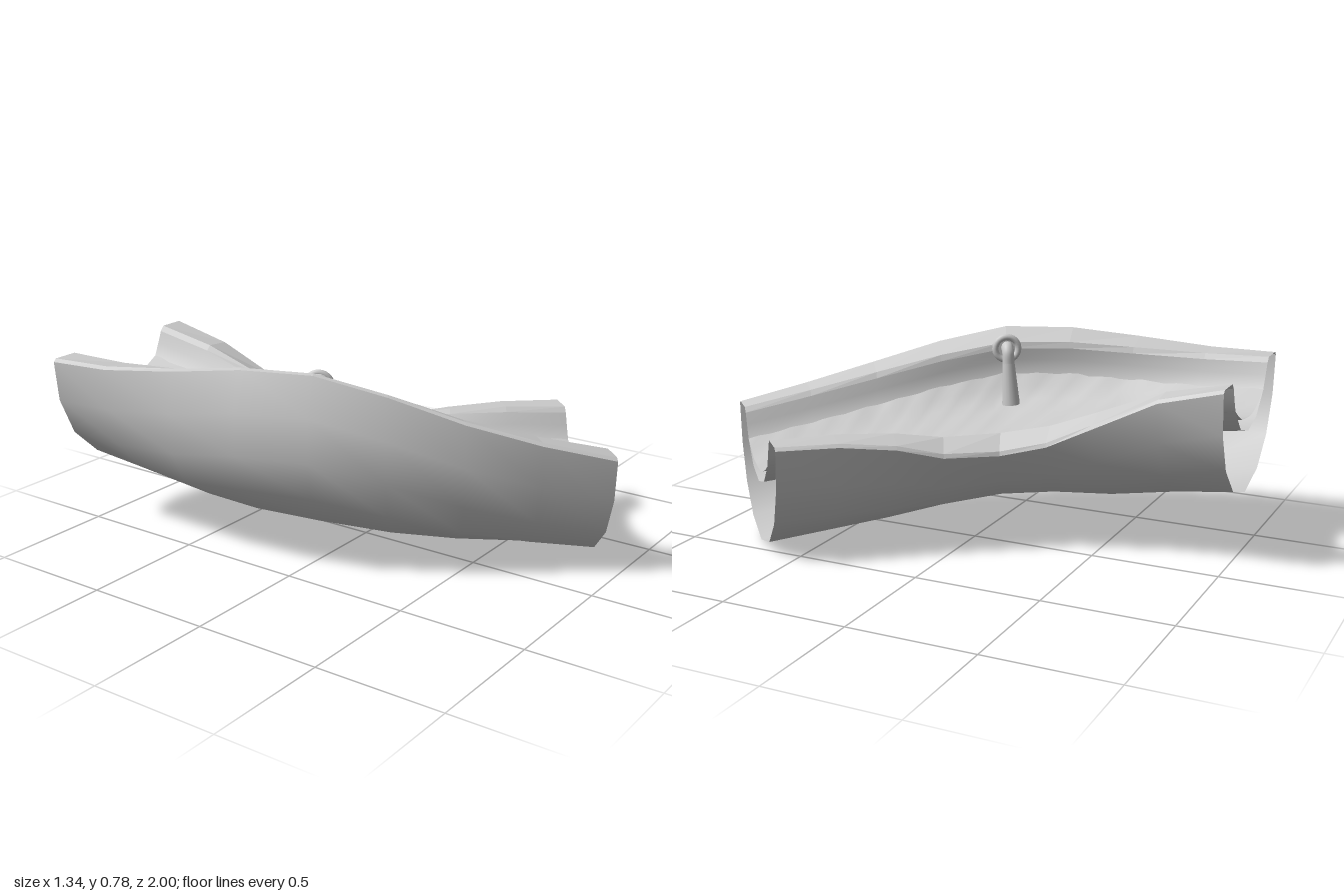
import * as THREE from 'three';

const smooth = new THREE.MeshStandardMaterial({ color: 0xcccccc, side: THREE.DoubleSide });
const faceted = new THREE.MeshStandardMaterial({ color: 0xcccccc, side: THREE.DoubleSide, flatShading: true });

// Rim edges on the model's right and left, from the front end to the back end
const stations = [
  [[0.155, 0.485, 1.0], [0.67, 0.48, 0.48]],
  [[-0.02, 0.55, 0.79], [0.52, 0.478, 0.3]],
  [[-0.18, 0.63, 0.56], [0.39, 0.455, 0.13]],
  [[-0.305, 0.72, 0.31], [0.285, 0.412, -0.01]],
  [[-0.415, 0.785, 0.06], [0.16, 0.41, -0.18]],
  [[-0.51, 0.785, -0.2], [0.12, 0.455, -0.35]],
  [[-0.595, 0.755, -0.46], [0.095, 0.54, -0.52]],
  [[-0.65, 0.725, -0.75], [0.065, 0.66, -0.76]],
  [[-0.675, 0.72, -1.0], [0.05, 0.72, -1.0]],
];

// Section frame: centre between the rims, u across, v up and banked with the turn
function makeFrame(r, l) {
  const u = l.clone().sub(r), half = u.length() / 2;
  u.normalize();
  const flat = new THREE.Vector3(u.x, 0, u.z).normalize();
  const cos = u.dot(flat);
  const v = flat.multiplyScalar(-u.y).setY(cos);
  return { centre: r.clone().add(l).multiplyScalar(0.5), u, v, scale: half / 0.365 };
}

// Frames along the trough, with each span split into the given number of steps
function makeFrames(steps) {
  const count = (stations.length - 1) * steps;
  return Array.from({ length: count + 1 }, (_, k) => {
    const i = Math.min(Math.floor(k / steps), stations.length - 2);
    const t = k / steps - i;
    const [r, l] = [0, 1].map((s) =>
      new THREE.Vector3(...stations[i][s]).lerp(new THREE.Vector3(...stations[i + 1][s]), t));
    return makeFrame(r, l);
  });
}

// Skin a profile of [u, v] points through all sections
function sweep(name, frames, profile, material, faceDown = false, ripple = 0) {
  const pos = [], index = [], n = profile.length;
  frames.forEach((f, i) => profile.forEach(([a, b], j) => {
    const wave = ripple * Math.sin(i * 1.9 + j * 2.3);
    const p = f.centre.clone().addScaledVector(f.u, a * f.scale).addScaledVector(f.v, b + wave);
    pos.push(p.x, p.y, p.z);
  }));
  for (let i = 0; i < frames.length - 1; i++)
    for (let j = 0; j < n - 1; j++) {
      const a = i * n + j, b = a + 1, c = a + n, d = c + 1;
      if (faceDown) index.push(a, c, b, b, c, d);
      else index.push(a, b, c, b, d, c);
    }
  const g = new THREE.BufferGeometry();
  g.setAttribute('position', new THREE.Float32BufferAttribute(pos, 3));
  g.setIndex(index);
  g.computeVertexNormals();
  const mesh = new THREE.Mesh(g, material);
  mesh.name = name;
  return mesh;
}

// Complete a half profile, listed from the rim to the bottom centre
const mirrored = (half) => [
  ...half.map(([a, b]) => [-a, b]),
  ...half.slice(0, -1).reverse(),
];

function createSpout() {
  const spout = new THREE.Group();
  spout.name = 'spout';
  const add = (name, geometry) => {
    const m = new THREE.Mesh(geometry, smooth);
    m.name = name;
    spout.add(m);
    return m;
  };
  const axis = new THREE.Vector3(0.82, 0, -0.5).normalize();
  const base = new THREE.Vector3(-0.318, 0.705, 0.012);

  const collar = add('collar', new THREE.TorusGeometry(0.047, 0.013, 10, 24));
  collar.position.copy(base);
  collar.quaternion.setFromUnitVectors(new THREE.Vector3(0, 0, 1), axis);

  const cone = add('wallCone', new THREE.ConeGeometry(0.058, 0.065, 20));
  cone.position.copy(base).addScaledVector(axis, -0.0325);
  cone.quaternion.setFromUnitVectors(new THREE.Vector3(0, 1, 0), axis.clone().negate());

  const bend = new THREE.CatmullRomCurve3([
    base.clone(),
    new THREE.Vector3(-0.298, 0.715, 0),
    new THREE.Vector3(-0.283, 0.697, -0.01),
    new THREE.Vector3(-0.28, 0.65, -0.014),
  ]);
  add('bend', new THREE.TubeGeometry(bend, 20, 0.024, 14));

  const pipe = add('pipe', new THREE.CylinderGeometry(0.024, 0.036, 0.17, 14));
  pipe.position.set(-0.28, 0.57, -0.02);
  pipe.rotation.x = 0.07;
  return spout;
}

export function createModel() {
  const model = new THREE.Group();
  model.name = 'curvedTrough';
  const frames = makeFrames(1);

  // Hollow shell, open at both ends
  const outer = [[0.365, -0.012], [0.35, -0.17], [0.285, -0.32], [0.17, -0.43], [0, -0.48]];
  const inner = [[0.238, -0.02], [0.22, -0.065], [0.195, -0.12], [0.11, -0.205], [0, -0.236]];
  model.add(sweep('outerShell', frames, mirrored(outer), smooth, true));
  model.add(sweep('innerChannel', frames, mirrored(inner), smooth));

  // Gently rippled water sheet lying in the channel
  const water = [[0.2, -0.115], [0.15, -0.145], [0.1, -0.168], [0.05, -0.178], [0, -0.181]];
  model.add(sweep('waterSurface', makeFrames(6), mirrored(water), smooth, false, 0.002));

  // Flat rims with narrow bevels
  const rim = [[0.365, -0.012], [0.352, 0], [0.255, 0], [0.238, -0.02]];
  model.add(sweep('rightRim', frames, rim.map(([a, b]) => [-a, b]), faceted));
  model.add(sweep('leftRim', frames, rim.slice().reverse(), faceted));

  model.add(createSpout());
  return model;
}
